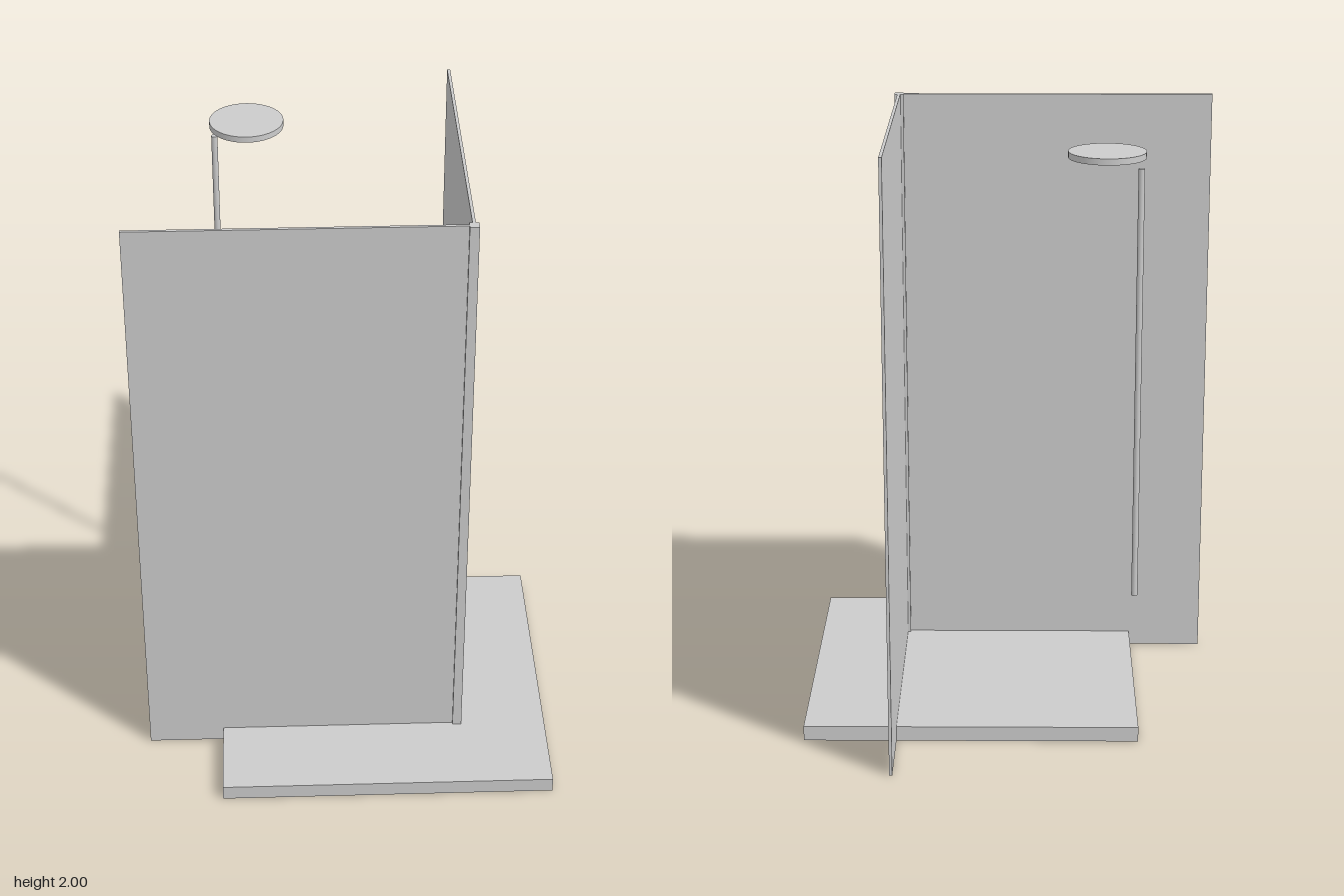
import * as THREE from 'three';

export function createModel() {
  const model = new THREE.Group();
  model.name = 'showerCorner';

  const grey = new THREE.MeshStandardMaterial({ color: 0xcccccc });
  grey.name = 'light grey';

  const add = (name, geometry, x, y, z) => {
    const mesh = new THREE.Mesh(geometry, grey);
    mesh.name = name;
    mesh.position.set(x, y, z);
    model.add(mesh);
  };

  const corner = 0.375; // x and z of the corner post
  const panelLength = 1.05;
  const panelMiddle = corner - panelLength / 2;

  // Square floor tray
  add('tray', new THREE.BoxGeometry(1.1, 0.05, 1.1), 0.125, 0.025, 0.125);

  // Two thin screens meeting at the post
  add('frontPanel', new THREE.BoxGeometry(panelLength, 2, 0.01), panelMiddle, 1, corner);
  add('sidePanel', new THREE.BoxGeometry(0.01, 2, panelLength), corner, 1, panelMiddle);
  add('cornerPost', new THREE.BoxGeometry(0.03, 1.95, 0.03), corner, 1.025, corner);

  // Riser rail and round shower head
  add('riserRail', new THREE.CylinderGeometry(0.01, 0.01, 1.4, 24), -0.405, 1.21, -0.4);
  add('showerHead', new THREE.CylinderGeometry(0.12, 0.12, 0.02, 48), -0.3, 1.955, -0.4);

  return model;
}
